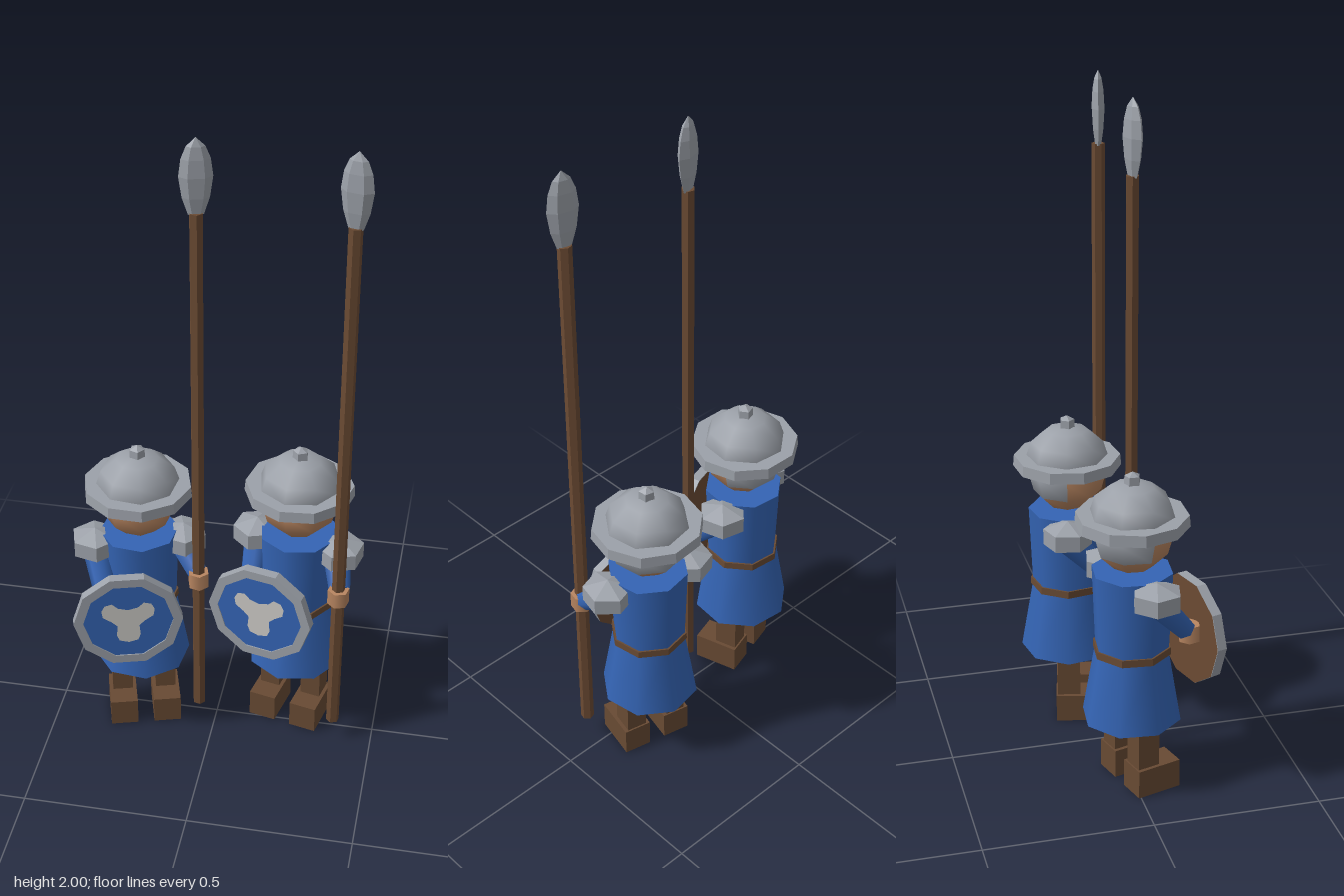
import * as THREE from 'three';

const mat = (name, color, extra = {}) => {
  const m = new THREE.MeshStandardMaterial({ color, ...extra });
  m.name = name;
  return m;
};

export function createModel() {
  const steel = mat('steel', 0x9ca1a9, { flatShading: true });
  const smoothSteel = mat('helmet steel', 0x9ca1a9);
  const blue = mat('blue cloth', 0x3464b4, { side: THREE.DoubleSide });
  const skin = mat('skin', 0xb98661);
  const wood = mat('wood', 0x6b4b33, { flatShading: true });
  const leather = mat('leather', 0x684a33, { flatShading: true });
  const pale = mat('pale paint', 0xcccac6);

  const add = (parent, name, geo, material, x = 0, y = 0, z = 0) => {
    const m = new THREE.Mesh(geo, material);
    m.name = name;
    m.position.set(x, y, z);
    parent.add(m);
    return m;
  };

  // Tapered limb between two points
  const limb = (parent, name, a, b, r1, r2, material) => {
    const from = new THREE.Vector3(...a), to = new THREE.Vector3(...b);
    const dir = to.clone().sub(from);
    const m = add(parent, name, new THREE.CylinderGeometry(r2, r1, dir.length(), 6), material);
    m.position.copy(from).add(to).multiplyScalar(0.5);
    m.quaternion.setFromUnitVectors(new THREE.Vector3(0, 1, 0), dir.normalize());
  };

  function makeShield() {
    const g = new THREE.Group();
    g.name = 'shield';
    const R = 0.165, inner = 0.136, turn = Math.PI / 10;
    const ring = (r, path) => {
      for (let i = 0; i <= 10; i++) {
        const a = i * Math.PI / 5;
        path[i ? 'lineTo' : 'moveTo'](Math.cos(a) * r, Math.sin(a) * r);
      }
      return path;
    };
    // Steel rim around a painted board with a wooden back
    const rim = ring(R, new THREE.Shape());
    rim.holes.push(ring(inner, new THREE.Path()));
    add(g, 'shieldRim', new THREE.ExtrudeGeometry(rim, { depth: 0.03, bevelEnabled: false }), steel, 0, 0, -0.014);
    const board = new THREE.CylinderGeometry(inner, inner, 0.024, 10);
    board.rotateY(turn).rotateX(Math.PI / 2);
    add(g, 'shieldBoard', board, wood, 0, 0, -0.002);
    add(g, 'shieldFace', new THREE.ShapeGeometry(ring(inner, new THREE.Shape())), blue, 0, 0, 0.0125);
    add(g, 'shieldBack', new THREE.ShapeGeometry(ring(R, new THREE.Shape())).rotateY(Math.PI), wood, 0, 0, -0.0155);
    // Three-lobed painted device, mirrored about its centre line
    const half = [[0, 0.045], [0.03, 0.053], [0.048, 0.07], [0.07, 0.064], [0.08, 0.045],
      [0.076, 0.02], [0.05, 0.002], [0.033, -0.015], [0.036, -0.05], [0.028, -0.07], [0, -0.078]];
    const mirrored = half.slice(1, -1).reverse().map(([x, y]) => [-x, y]);
    const device = new THREE.Shape([...half, ...mirrored].map(([x, y]) => new THREE.Vector2(x, y)));
    add(g, 'shieldDevice', new THREE.ShapeGeometry(device), pale, 0, 0, 0.0165);
    return g;
  }

  function makeSpear() {
    const g = new THREE.Group();
    g.name = 'spear';
    add(g, 'spearShaft', new THREE.CylinderGeometry(0.02, 0.02, 1.71, 6), wood, 0, 0.93, 0);
    const blade = [[0, 1.775], [0.02, 1.78], [0.035, 1.83], [0.043, 1.89], [0.037, 1.94], [0.024, 1.975], [0, 2]];
    const head = new THREE.LatheGeometry(blade.map(p => new THREE.Vector2(...p)), 6);
    head.rotateY(Math.PI / 6).scale(1.08, 1, 0.5);
    add(g, 'spearHead', head, steel);
    return g;
  }

  function makeSoldier(name) {
    const g = new THREE.Group();
    g.name = name;

    // Tunic with an open flared skirt and a belt
    add(g, 'tunicTop', new THREE.CylinderGeometry(0.12, 0.11, 0.25, 8), blue, 0, 0.565, 0);
    add(g, 'tunicSkirt', new THREE.CylinderGeometry(0.11, 0.148, 0.22, 8, 1, true), blue, 0, 0.33, 0);
    add(g, 'belt', new THREE.CylinderGeometry(0.116, 0.117, 0.022, 8), leather, 0, 0.443, 0);

    // Head: bare face and nape, steel lining behind
    const headR = 0.12, headY = 0.81;
    add(g, 'face', new THREE.SphereGeometry(headR, 4, 6, 0, Math.PI), skin, 0, headY, 0);
    add(g, 'helmetLining', new THREE.SphereGeometry(headR, 4, 4, Math.PI, Math.PI, 0, Math.PI * 2 / 3), smoothSteel, 0, headY, 0);
    add(g, 'nape', new THREE.SphereGeometry(headR, 4, 2, Math.PI, Math.PI, Math.PI * 2 / 3, Math.PI / 3), skin, 0, headY, 0);

    // Brimmed helmet with a knob
    add(g, 'helmetBrim', new THREE.CylinderGeometry(0.162, 0.165, 0.034, 10), steel, 0, 0.848, 0);
    const dome = new THREE.SphereGeometry(0.127, 8, 3, 0, Math.PI * 2, 0, Math.PI / 2).scale(1, 0.83, 1);
    add(g, 'helmetDome', dome, smoothSteel, 0, 0.855, 0);
    add(g, 'helmetKnob', new THREE.CylinderGeometry(0.023, 0.025, 0.04, 5), steel, 0, 0.96, 0);
    add(g, 'helmetKnobTip', new THREE.ConeGeometry(0.023, 0.012, 5), steel, 0, 0.986, 0);

    // Mirrored legs, boots and shoulder guards
    for (const s of [-1, 1]) {
      add(g, 'leg', new THREE.BoxGeometry(0.063, 0.24, 0.07), leather, s * 0.068, 0.19, 0);
      add(g, 'boot', new THREE.BoxGeometry(0.085, 0.088, 0.14), leather, s * 0.068, 0.044, 0.03);
      const guard = new THREE.SphereGeometry(0.085, 6, 3).rotateY(Math.PI / 6).scale(1, 0.59, 1);
      add(g, 'shoulderGuard', guard, steel, s * 0.134, 0.652, 0);
    }

    // Arms and hands
    const hand = () => new THREE.CylinderGeometry(0.033, 0.033, 0.05, 6);
    limb(g, 'leftSleeve', [0.125, 0.64, 0], [0.168, 0.575, 0.085], 0.042, 0.032, blue);
    add(g, 'leftHand', hand(), skin, 0.17, 0.565, 0.1);
    limb(g, 'rightSleeve', [-0.135, 0.64, 0], [-0.113, 0.52, 0.11], 0.042, 0.032, blue);
    add(g, 'rightHand', hand(), skin, -0.108, 0.505, 0.127);

    const shield = makeShield();
    shield.position.set(-0.05, 0.482, 0.17);
    const spear = makeSpear();
    spear.position.set(0.17, 0, 0.1);
    g.add(shield, spear);
    return g;
  }

  const model = new THREE.Group();
  model.name = 'spearmen';
  const placements = [['rightSoldier', -0.24, 0, 0.29], ['leftSoldier', 0.235, -0.08, -0.225]];
  for (const [name, x, z, turn] of placements) {
    const soldier = makeSoldier(name);
    soldier.position.set(x, 0, z);
    soldier.rotation.y = turn;
    model.add(soldier);
  }
  return model;
}
